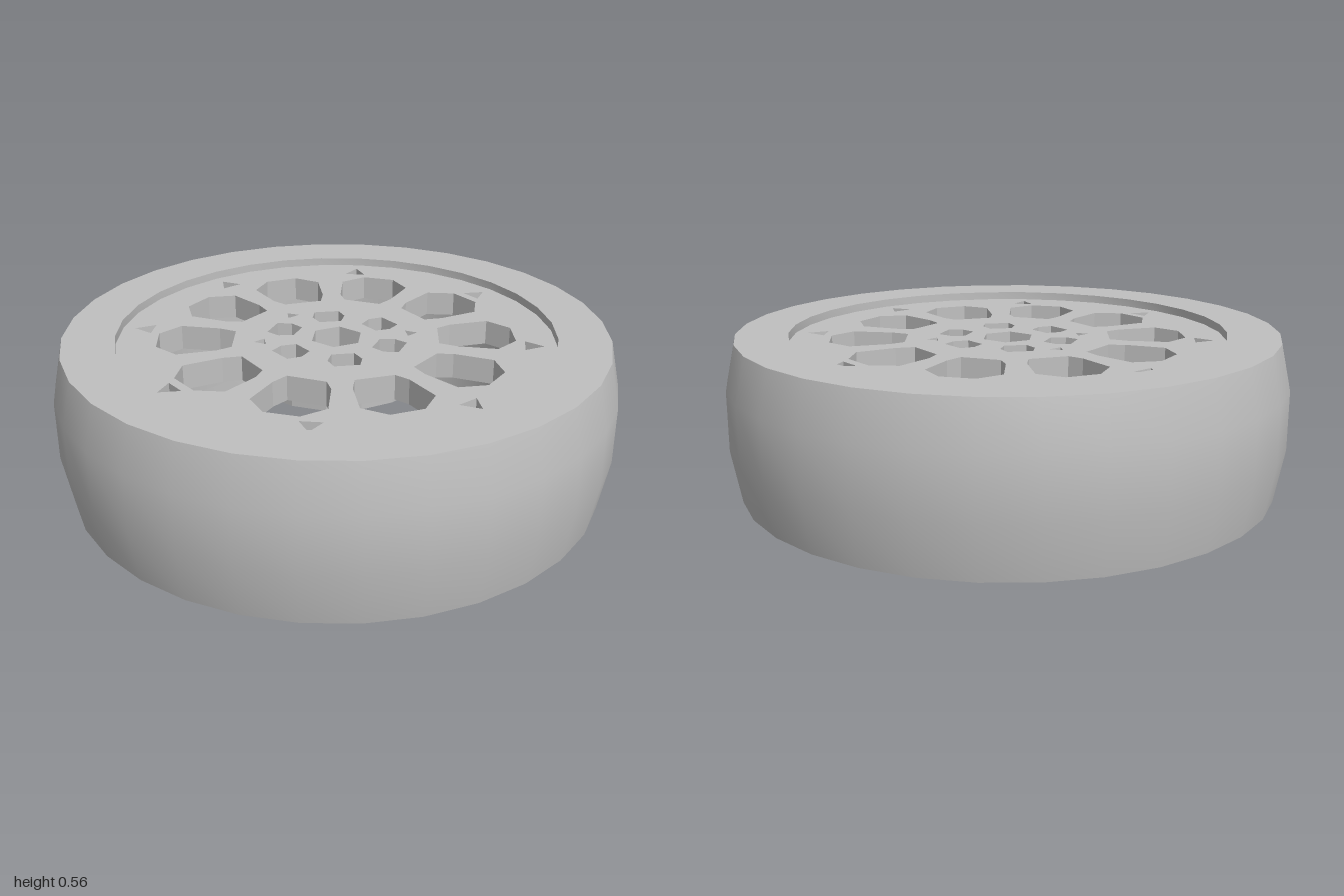
import * as THREE from 'three';
import { toCreasedNormals } from 'three/addons/utils/BufferGeometryUtils.js';

const SIDES = 32;
const metal = new THREE.MeshStandardMaterial({ color: 0xc0c0c0 });
metal.name = 'light grey';

const v = (x, y) => new THREE.Vector2(x, y);

// Regular polygon in plan
function polygon(cx, cy, radius, sides, start = 0) {
  return Array.from({ length: sides }, (_, i) => {
    const a = start + (i / sides) * Math.PI * 2;
    return v(cx + radius * Math.cos(a), cy + radius * Math.sin(a));
  });
}

// Outline given as [sideways, outward] pairs, turned clockwise from the back (-z)
function radialOutline(pairs, degrees) {
  const a = THREE.MathUtils.degToRad(degrees);
  return pairs.map(([t, r]) => v(
    r * Math.sin(a) + t * Math.cos(a),
    r * Math.cos(a) - t * Math.sin(a),
  ));
}

// Flat plate between two heights, with holes through it
function plate(name, outline, holes, bottom, top) {
  const shape = new THREE.Shape(outline);
  shape.holes = holes.map((points) => new THREE.Path(points));
  const geometry = new THREE.ExtrudeGeometry(shape, { depth: top - bottom, bevelEnabled: false });
  geometry.rotateX(-Math.PI / 2).translate(0, bottom, 0);
  const mesh = new THREE.Mesh(geometry, metal);
  mesh.name = name;
  return mesh;
}

export function createModel() {
  const model = new THREE.Group();
  model.name = 'wheel';

  // Tyre and rim barrel: inner wall, step, bottom, tread, top and recessed lip
  const profile = [
    v(0.712, 0.45), v(0.712, 0.1), v(0.78, 0.1), v(0.78, 0),
    v(0.965, 0), v(1, 0.19), v(1, 0.4), v(0.965, 0.56),
    v(0.78, 0.56), v(0.78, 0.53), v(0.75, 0.53),
  ];
  const tyre = new THREE.Mesh(toCreasedNormals(new THREE.LatheGeometry(profile, SIDES), 0.6), metal);
  tyre.name = 'tyreAndRim';
  model.add(tyre);

  // Ten large openings between the spokes
  const opening = [
    [-0.07, 0.37], [0.07, 0.36], [0.1, 0.42], [0.13, 0.56],
    [0.06, 0.635], [-0.06, 0.635], [-0.13, 0.56], [-0.1, 0.42],
  ];
  const spokeHoles = Array.from({ length: 10 }, (_, i) => radialOutline(opening, 9 + i * 36));

  // Hexagonal axle hole and six bolt holes
  const boltHole = [[-0.04, 0.15], [0.04, 0.15], [0.06, 0.2], [0.045, 0.25], [-0.045, 0.25], [-0.06, 0.2]];
  const hubHoles = [polygon(0, 0.005, 0.095, 6, Math.PI / 2)];
  for (let i = 0; i < 6; i++) hubHoles.push(radialOutline(boltHole, -15 + i * 60 + 0));

  // Small triangular pits: eight near the rim, three between the bolt holes
  const pits = [];
  for (let i = 0; i < 8; i++) {
    const a = (i * Math.PI) / 4;
    pits.push(polygon(0.69 * Math.cos(a), 0.69 * Math.sin(a), 0.045, 3, a));
  }
  for (const degrees of [75, 255, 315]) {
    pits.push(radialOutline([[-0.025, 0.255], [0.025, 0.255], [0, 0.295]], degrees));
  }

  // Wheel disc
  const edge = polygon(0, 0, 0.75, SIDES);
  model.add(plate('wheelDisc', edge, [...spokeHoles, ...hubHoles, ...pits], 0.44, 0.53));

  // Pit floors
  for (const pit of pits) model.add(plate('pitFloor', pit, [], 0.44, 0.49));

  // Hub boss under the disc
  model.add(plate('hubBoss', polygon(0, 0, 0.31, 16), hubHoles, 0.39, 0.44));

  return model;
}
